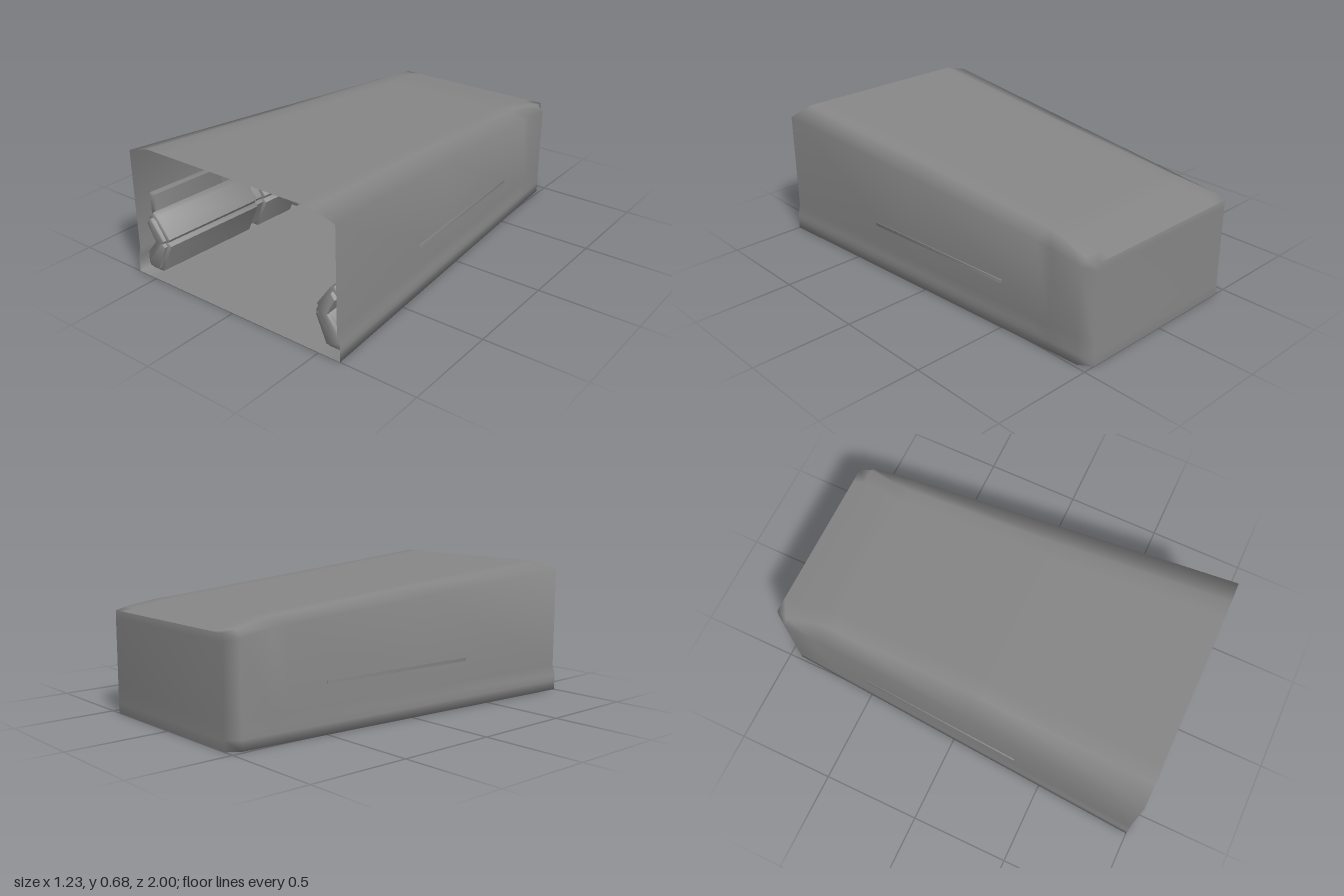
import * as THREE from 'three';
import { toCreasedNormals } from 'three/addons/utils/BufferGeometryUtils.js';

const material = new THREE.MeshStandardMaterial({ color: 0x868686, side: THREE.DoubleSide });
const SLOPE = 0.06; // how far each side wall closes in per unit of depth
const ROOF = 0.076; // how far the roof falls per unit of depth

function mesh(name, geometry) {
  const m = new THREE.Mesh(geometry, material);
  m.name = name;
  return m;
}

// Half of a cross-section, from floor to roof: wall w, skirt flare f, roof height t
function halfSection(w, f, t, chamfer) {
  return [
    [w - 0.1, 0], [w + f, 0], [w + f, 0.05], [w + f, 0.08], [w, 0.13],
    [w, t - 0.035], [w - chamfer, t], [w - chamfer - 0.08, t],
  ];
}

// Open-fronted tapering housing with soft edges, closed by a back wall
function housing() {
  const stations = [ // z, wall, flare, roof, chamfer
    [1, 0.6, 0.015, 0.675, 0.12],
    [0.1, 0.546, 0.009, 0.607, 0.11],
    [-0.7, 0.498, 0.003, 0.546, 0.08],
    [-0.78, 0.493, 0.002, 0.54, 0.07],
    [-0.94, 0.483, 0.001, 0.511, 0.03],
    [-1, 0.44, 0, 0.5, 0.004],
  ];
  const pos = [], index = [];
  let half = 0;
  for (const [z, w, f, t, c] of stations) {
    const right = halfSection(w, f, t, c);
    const left = right.map(([x, y]) => [-x, y]).reverse();
    half = right.length;
    for (const [x, y] of [...right, ...left]) pos.push(x, y, z);
  }
  const n = half * 2, last = stations.length - 1;
  const quad = (a, b, c, d) => index.push(a, b, c, c, b, d);
  for (let k = 0; k < last; k++) {
    for (let j = 0; j < n; j++) {
      const i = (j + 1) % n;
      quad(k * n + j, (k + 1) * n + j, k * n + i, (k + 1) * n + i);
    }
  }
  // back wall strips between mirrored points
  for (let j = 0; j < half - 1; j++) {
    const r = last * n + j, l = last * n + n - 1 - j;
    quad(r, l, r + 1, l - 1);
  }
  const g = new THREE.BufferGeometry();
  g.setAttribute('position', new THREE.Float32BufferAttribute(pos, 3));
  g.setIndex(index);
  g.computeVertexNormals();
  return g;
}

// Soft-edged profile running from z0 back to z1, following the slanting wall or roof
function rail(points, z0, z1, dx = SLOPE, dy = 0, bevel = 0.008) {
  const shape = new THREE.Shape(points.map(([x, y]) => new THREE.Vector2(x, y)));
  const g = new THREE.ExtrudeGeometry(shape, {
    depth: z0 - z1 - 2 * bevel, bevelSize: bevel, bevelThickness: bevel, bevelOffset: -bevel, bevelSegments: 1,
  });
  g.translate(0, 0, z1 + bevel);
  const p = g.attributes.position;
  for (let i = 0; i < p.count; i++) {
    const back = 1 - p.getZ(i);
    p.setXY(i, p.getX(i) - dx * back, p.getY(i) - dy * back);
  }
  return toCreasedNormals(g, 0.9);
}

const rect = (x0, x1, y0, y1) => [[x0, y0], [x1, y0], [x1, y1], [x0, y1]];

// Fittings along one inner wall
function sideFittings() {
  const side = new THREE.Group();
  const chevron = [
    [0.515, 0.01], [0.578, 0.01], [0.595, 0.03], [0.592, 0.1], [0.52, 0.18],
    [0.582, 0.285], [0.55, 0.315], [0.525, 0.3], [0.453, 0.198], [0.465, 0.18], [0.445, 0.165],
  ];
  const core = chevron.map(([x, y]) => [0.53 + (x - 0.53) * 0.8, 0.16 + (y - 0.16) * 0.85]);
  const blocks = [[0.95, 0.38], [0.33, 0.08], [0.04, -0.1]];
  for (const [z0, z1] of blocks) side.add(mesh('chevronRail', rail(chevron, z0, z1, SLOPE, 0, 0.006)));
  side.add(mesh('railCore', rail(core, 0.97, -0.14, SLOPE, 0, 0.004)));
  side.add(mesh('frontClamp', rail(rect(0.56, 0.598, 0.28, 0.395), 0.92, 0.5)));
  side.add(mesh('rearClamp', rail(rect(0.565, 0.599, 0.235, 0.35), -0.2, -0.75)));
  side.add(mesh('wallStrip', rail(rect(0.585, 0.605, 0.23, 0.247), 0.35, -0.5, SLOPE, 0, 0.001)));
  return side;
}

export function createModel() {
  const model = new THREE.Group();
  model.name = 'taperedHousing';
  model.add(mesh('shell', housing()));

  const left = sideFittings();
  left.name = 'leftFittings';
  const right = sideFittings();
  right.name = 'rightFittings';
  right.scale.x = -1;
  model.add(left, right);

  // Box hung under the roof, with two feet and a lower lip
  const hanger = new THREE.Group();
  hanger.name = 'roofBox';
  hanger.add(mesh('boxBody', rail(rect(-0.128, 0.128, 0.532, 0.663), 0.64, 0.3, 0, ROOF, 0.012)));
  hanger.add(mesh('boxLip', rail(rect(-0.115, 0.115, 0.53, 0.55), 0.62, 0.45, 0, ROOF, 0.004)));
  for (const s of [-1, 1]) {
    hanger.add(mesh('boxFoot', rail(rect(s * 0.088 - 0.03, s * 0.088 + 0.03, 0.521, 0.545), 0.6, 0.45, 0, ROOF, 0.004)));
  }
  model.add(hanger);
  return model;
}
